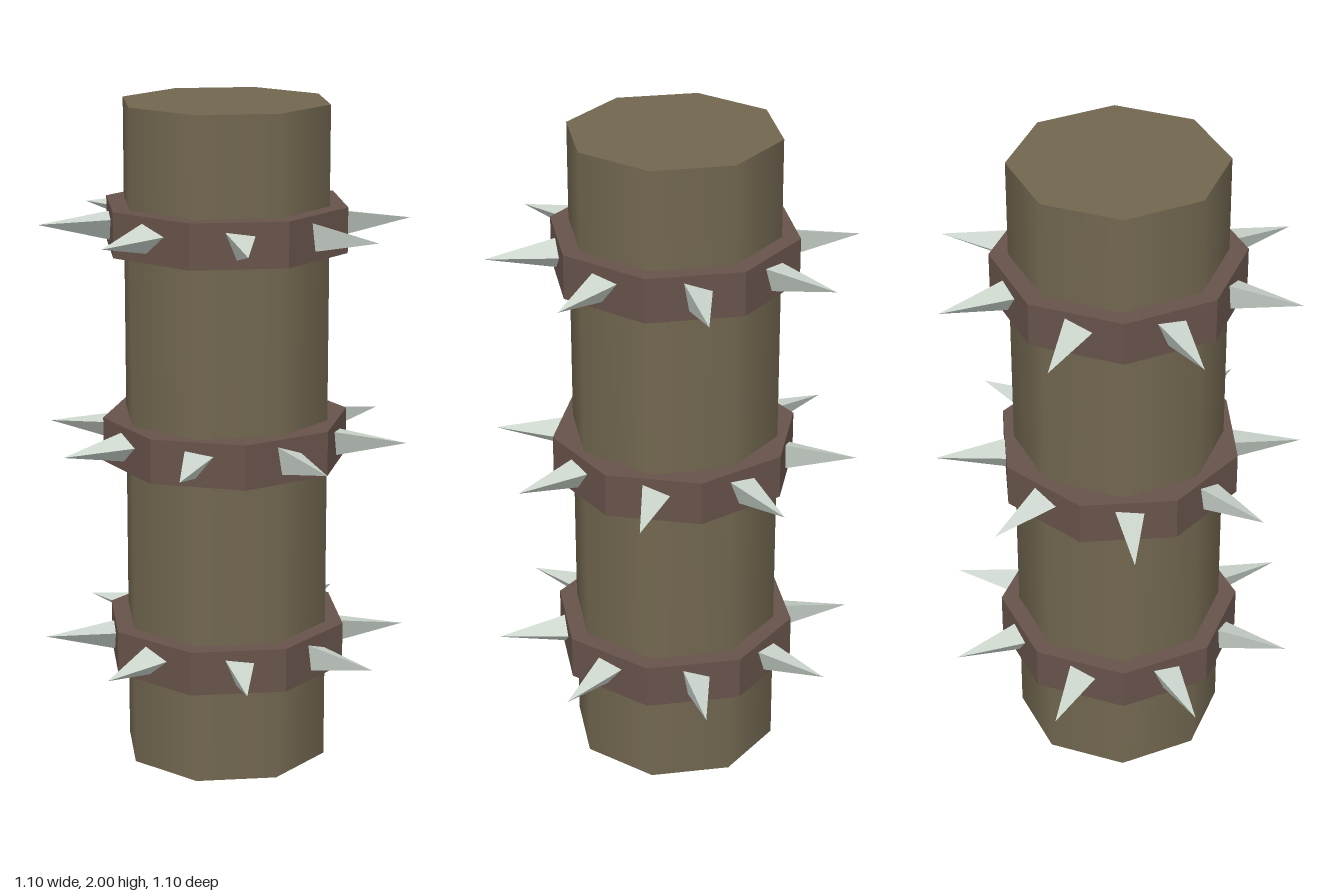
import * as THREE from 'three';

const DEG = Math.PI / 180;

export function createModel() {
  const model = new THREE.Group();
  model.name = 'spikedPost';

  const wood = new THREE.MeshStandardMaterial({ color: 0x726750 });
  const leather = new THREE.MeshStandardMaterial({ color: 0x67534a, flatShading: true });
  const metal = new THREE.MeshStandardMaterial({ color: 0xccd6cd, flatShading: true });

  // Eight-sided drum with flats facing the axes
  const octagon = (radius, height) =>
    new THREE.CylinderGeometry(radius, radius, height, 8).rotateY(22.5 * DEG);

  // Three-sided spike pointing to +z, rolled about its own axis
  const spikeGeometry = (roll) =>
    new THREE.ConeGeometry(0.057, 0.24, 3)
      .rotateX(Math.PI / 2)
      .rotateZ(roll * DEG)
      .translate(0, 0, 0.43);
  const spikes = [spikeGeometry(-8), spikeGeometry(-20)];

  // Smooth-sided post
  const post = new THREE.Mesh(octagon(0.314, 2), wood);
  post.name = 'post';
  post.position.y = 1;
  model.add(post);

  // Band with a spike on each flat
  function addCollar(name, y, turn) {
    const collar = new THREE.Group();
    collar.name = name;
    const band = new THREE.Mesh(octagon(0.369, 0.134), leather);
    band.name = 'band';
    collar.add(band);
    for (let i = 0; i < 8; i++) {
      const spike = new THREE.Mesh(spikes[i % 2], metal);
      spike.name = 'spike';
      spike.position.y = 0.008;
      spike.rotation.y = i * 45 * DEG;
      collar.add(spike);
    }
    collar.position.y = y;
    collar.rotation.y = turn * DEG;
    model.add(collar);
  }

  addCollar('lowerCollar', 0.363, 0);
  addCollar('middleCollar', 0.997, -20);
  addCollar('upperCollar', 1.638, 0);

  return model;
}
